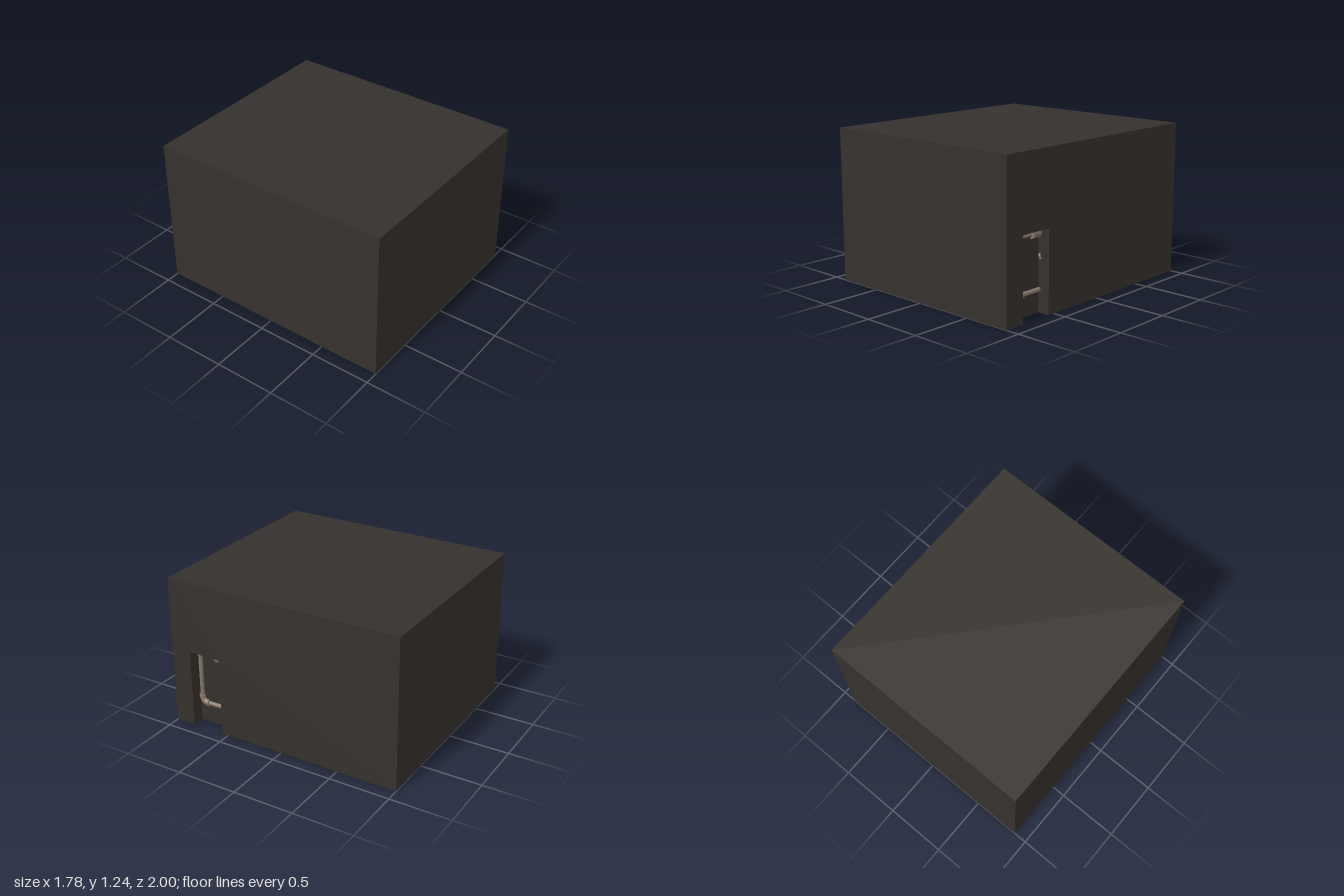
import * as THREE from 'three';

const W = 0.89, H = 1.24, D = 1;             // half width, height, half depth
const BACK = 0.79;                           // plane at the back of the alcove
const Z0 = 0.555, Z1 = 0.832, TOP = 0.65;    // alcove opening
const PX = 0.793;                            // depth of the pipe run

const wallMat = new THREE.MeshStandardMaterial({ color: 0x35312d, side: THREE.DoubleSide });
const pipeMat = new THREE.MeshStandardMaterial({ color: 0x85766a, side: THREE.DoubleSide });

export function createModel() {
  const model = new THREE.Group();

  const add = (name, geo, mat, parent) => {
    const mesh = new THREE.Mesh(geo, mat);
    mesh.name = name;
    parent.add(mesh);
    return mesh;
  };

  // flat panel drawn in its own plane, turned to face outward
  const building = new THREE.Group();
  building.name = 'building';
  model.add(building);
  const panel = (name, pts, rx, ry, pos) => {
    const shape = new THREE.Shape(pts.map(([u, v]) => new THREE.Vector2(u, v)));
    const mesh = add(name, new THREE.ShapeGeometry(shape), wallMat, building);
    mesh.rotation.set(rx, ry, 0);
    mesh.position.set(...pos);
  };
  const rect = (a, b, c, d) => [[a, c], [b, c], [b, d], [a, d]];
  const Q = Math.PI / 2;

  // outer shell; the right wall and base are notched for the alcove
  panel('frontWall', rect(-W, W, 0, H), 0, 0, [0, 0, D]);
  panel('backWall', rect(-W, W, 0, H), 0, 2 * Q, [0, 0, -D]);
  panel('roof', rect(-W, W, -D, D), -Q, 0, [0, H, 0]);
  panel('rightWall', rect(-D, D, 0, H), 0, -Q, [-W, 0, 0]);
  panel('leftWall', [[-D, 0], [-Z1, 0], [-Z1, TOP], [-Z0, TOP], [-Z0, 0], [D, 0], [D, H], [-D, H]],
    0, Q, [W, 0, 0]);
  panel('base', [[-W, -D], [W, -D], [W, Z0], [BACK, Z0], [BACK, Z1], [W, Z1], [W, D], [-W, D]],
    Q, 0, [0, 0, 0]);

  // alcove lining
  panel('alcoveBack', rect(-Z1, -Z0, 0, TOP), 0, Q, [BACK, 0, 0]);
  panel('alcoveFrontSide', rect(-W, -BACK, 0, TOP), 0, 2 * Q, [0, 0, Z1]);
  panel('alcoveRearSide', rect(BACK, W, 0, TOP), 0, 0, [0, 0, Z0]);
  panel('alcoveCeiling', rect(BACK, W, Z0, Z1), Q, 0, [0, TOP, 0]);

  // pipework on the alcove's back wall
  const pipes = new THREE.Group();
  pipes.name = 'pipework';
  model.add(pipes);
  const rod = (name, a, b, r) => {
    const from = new THREE.Vector3(...a), to = new THREE.Vector3(...b);
    const dir = to.clone().sub(from);
    const mesh = add(name, new THREE.CylinderGeometry(r, r, dir.length(), 20), pipeMat, pipes);
    mesh.position.copy(from).add(to).multiplyScalar(0.5);
    mesh.quaternion.setFromUnitVectors(new THREE.Vector3(0, 1, 0), dir.normalize());
  };
  rod('verticalPipe', [PX, 0.22, 0.807], [PX, TOP, 0.807], 0.018);
  rod('lowerPipe', [PX, 0.176, 0.76], [PX, 0.176, Z0], 0.018);
  rod('upperPipe', [PX, 0.61, 0.82], [PX, 0.602, 0.63], 0.015);
  rod('teeCollar', [PX, 0.595, 0.807], [PX, 0.628, 0.807], 0.022);
  rod('upperCoupling', [PX, 0.607, 0.645], [PX, 0.607, 0.565], 0.036);
  rod('couplingEnd', [PX, 0.6, 0.57], [PX, 0.6, Z0], 0.02);

  // bottom elbow with its two sleeves
  const bend = new THREE.QuadraticBezierCurve3(
    new THREE.Vector3(PX, 0.232, 0.807),
    new THREE.Vector3(PX, 0.178, 0.805),
    new THREE.Vector3(PX, 0.176, 0.748));
  add('elbow', new THREE.TubeGeometry(bend, 12, 0.027, 16), pipeMat, pipes);
  rod('elbowUpperSleeve', [PX, 0.224, 0.807], [PX, 0.238, 0.807], 0.027);
  rod('elbowLowerSleeve', [PX, 0.176, 0.757], [PX, 0.176, 0.743], 0.03);

  // small hook on the alcove's rear side
  const hookPath = new THREE.QuadraticBezierCurve3(
    new THREE.Vector3(0.805, 0.445, Z0),
    new THREE.Vector3(0.805, 0.44, 0.572),
    new THREE.Vector3(0.815, 0.412, 0.56));
  add('hook', new THREE.TubeGeometry(hookPath, 10, 0.009, 10), pipeMat, pipes);

  return model;
}
